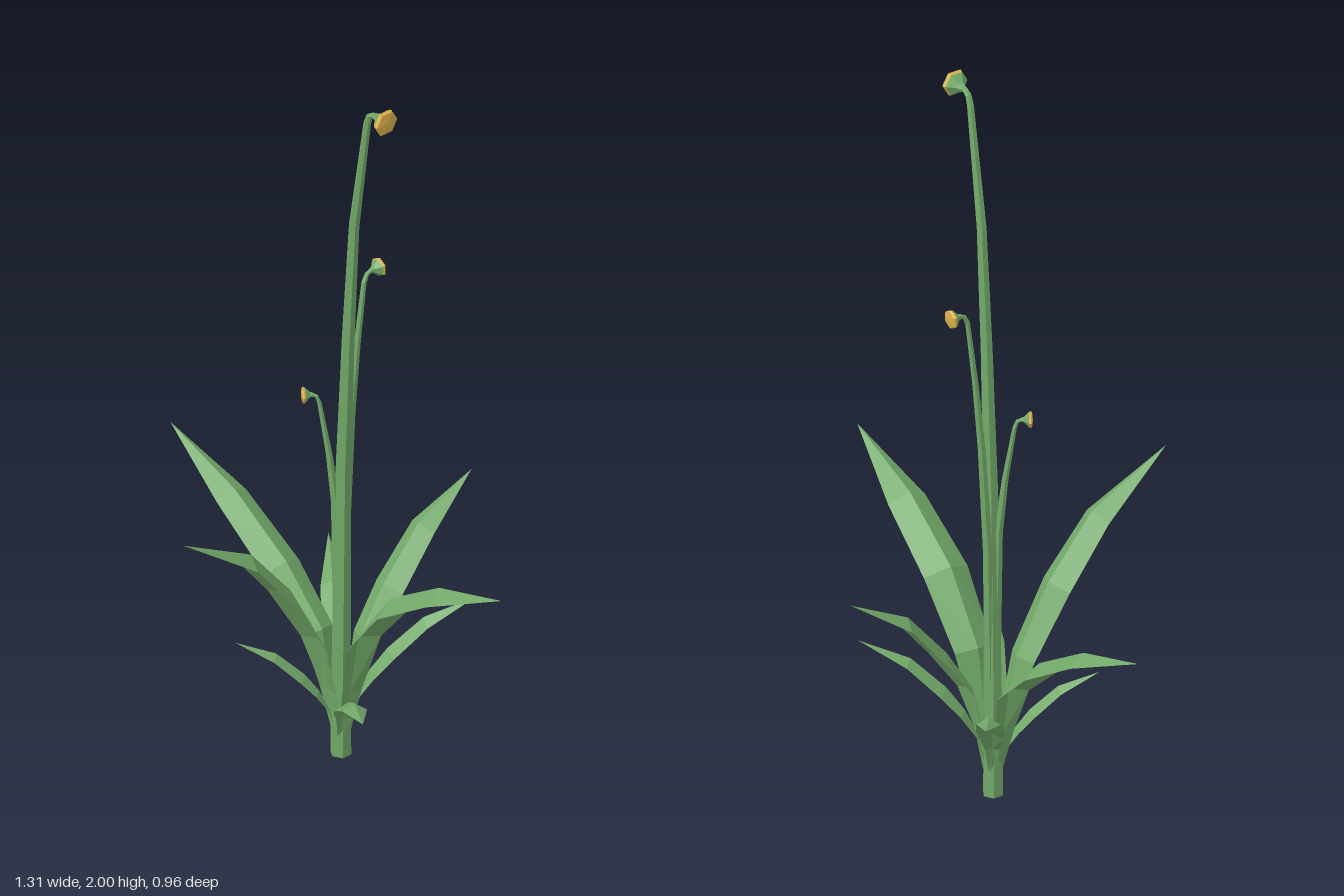
import * as THREE from 'three';

const green = new THREE.MeshStandardMaterial({ color: 0x73aa6a, side: THREE.DoubleSide });
green.name = 'leaf green';
const gold = new THREE.MeshStandardMaterial({ color: 0xd8b04a });
gold.name = 'petal gold';

const V = (x, y, z) => new THREE.Vector3(x, y, z);
const CX = 0.01, CZ = -0.05; // where all stems meet the ground

// Joins equal-length rings of points into a faceted surface
function loft(rings, closed) {
  const n = rings[0].length, pos = [];
  const push = (...pts) => pts.forEach((p) => pos.push(p.x, p.y, p.z));
  for (let i = 0; i < rings.length - 1; i++) {
    for (let j = 0; j < (closed ? n : n - 1); j++) {
      const k = (j + 1) % n;
      const a = rings[i][j], b = rings[i][k], c = rings[i + 1][j], d = rings[i + 1][k];
      push(a, c, d, a, d, b);
    }
  }
  const g = new THREE.BufferGeometry();
  g.setAttribute('position', new THREE.Float32BufferAttribute(pos, 3));
  g.computeVertexNormals();
  return g;
}

// Six-sided tube along points [x, y, z, radius]
function sweep(path) {
  const pts = path.map((p) => V(p[0], p[1], p[2]));
  const rings = pts.map((p, i) => {
    const next = pts[Math.min(i + 1, pts.length - 1)], prev = pts[Math.max(i - 1, 0)];
    const q = new THREE.Quaternion().setFromUnitVectors(V(0, 1, 0), next.clone().sub(prev).normalize());
    return Array.from({ length: 6 }, (_, j) => {
      const a = Math.PI / 2 + (j * Math.PI) / 3;
      return V(Math.cos(a), 0, Math.sin(a)).multiplyScalar(path[i][3]).applyQuaternion(q).add(p);
    });
  });
  return loft(rings, true);
}

function add(group, name, geometry, material) {
  const m = new THREE.Mesh(geometry, material);
  m.name = name;
  group.add(m);
}

// Bent stalk ending in a flared cup with a gold face
function flowerStalk(name, path, dir, s) {
  const g = new THREE.Group();
  g.name = name;
  const end = path[path.length - 1];
  const at = (d, r) => [end[0] + dir[0] * d * s, end[1], end[2] + dir[1] * d * s, r * s];
  add(g, 'stalk', sweep(path), green);
  add(g, 'flowerCup', sweep([at(-0.005, 0.009), at(0.01, 0.014), at(0.03, 0.034)]), green);
  add(g, 'flowerFace', sweep([at(0.03, 0.034), at(0.038, 0.038), at(0.044, 0.034), at(0.047, 0.015), at(0.048, 0)]), gold);
  return g;
}

// Ridged blade: path of [distance out, height], heading as an (x, z) direction
function leaf(name, dx, dz, path, width) {
  const len = Math.hypot(dx, dz), ux = dx / len, uz = dz / len;
  const widths = [0.3, 0.5, 0.85, 1, 0.85, 0];
  const ridge = [0.1, 0.2, 0.45, 0.55, 0.6, 0];
  const rings = path.map(([r, y], i) => {
    const p = path[Math.max(i - 1, 0)], q = path[Math.min(i + 1, path.length - 1)];
    const tr = q[0] - p[0], ty = q[1] - p[1], tl = Math.hypot(tr, ty);
    const w = widths[i] * width;
    // Point lifted h off the path and moved side to the left or right
    const at = (side, h) => {
      const out = r - (ty / tl) * h;
      return V(CX + ux * out - uz * side, y + (tr / tl) * h, CZ + uz * out + ux * side);
    };
    const h = ridge[i] * w;
    return [at(w, -0.6 * h), at(0, 0.4 * h), at(-w, -0.6 * h)];
  });
  const m = new THREE.Mesh(loft(rings, false), green);
  m.name = name;
  return m;
}

export function createModel() {
  const model = new THREE.Group();
  model.name = 'floweringPlant';

  // Flower stalks
  model.add(
    flowerStalk('tallStalk', [
      [CX, 0, CZ, 0], [CX, 0.001, CZ, 0.028], [CX, 0.2, CZ, 0.026], [0.02, 0.85, CZ, 0.021],
      [0.038, 1.25, CZ, 0.017], [0.061, 1.6, CZ, 0.014], [0.111, 1.93, CZ, 0.01],
      [0.12, 1.955, CZ, 0.009], [0.135, 1.965, CZ, 0.008], [0.145, 1.965, CZ, 0.008],
    ], [1, 0], 0.97),
    flowerStalk('middleStalk', [
      [CX, 0.1, CZ - 0.006, 0.016], [CX, 0.7, -0.066, 0.014], [CX, 1, -0.085, 0.011], [CX, 1.2, -0.105, 0.009],
      [CX, 1.375, -0.128, 0.007], [CX, 1.395, -0.138, 0.006], [CX, 1.4, -0.152, 0.006],
    ], [0, -1], 0.7),
    flowerStalk('shortStalk', [
      [CX, 0.1, CZ + 0.004, 0.014], [0.003, 0.75, -0.038, 0.012], [-0.006, 0.9, -0.024, 0.009],
      [-0.022, 1.05, -0.006, 0.006], [-0.026, 1.07, 0, 0.005], [-0.034, 1.075, 0.009, 0.005],
    ], [-0.55, 0.83], 0.57),
  );

  // Long leaves
  const base = [0.015, 0.07];
  model.add(
    leaf('leftLeaf', 0.65, 0.025, [base, [0.04, 0.2], [0.08, 0.38], [0.21, 0.55], [0.4, 0.675], [0.645, 0.77]], 0.065),
    leaf('rightLeaf', -0.66, -0.01, [base, [0.05, 0.2], [0.08, 0.33], [0.22, 0.46], [0.42, 0.58], [0.665, 0.67]], 0.057),
    leaf('frontLeaf', 0, 0.53, [base, [0.035, 0.2], [0.08, 0.37], [0.18, 0.55], [0.31, 0.71], [0.53, 0.84]], 0.057),
    leaf('backLeaf', 0.005, -0.43, [base, [0.04, 0.2], [0.07, 0.32], [0.15, 0.44], [0.265, 0.575], [0.435, 0.67]], 0.05),
  );

  // Short leaves between the long ones: name, direction, reach, height
  const shape = [[0.05, 0.19], [0.11, 0.38], [0.22, 0.54], [0.36, 0.68], [0.62, 0.87], [1, 1]];
  [
    ['backRightShortLeaf', -0.327, -0.245, 0.412, 0.4, 0.037],
    ['backLeftShortLeaf', 0.194, -0.282, 0.342, 0.44, 0.035],
    ['frontLeftShortLeaf', 0.352, 0.235, 0.424, 0.35, 0.037],
    ['frontRightShortLeaf', -0.152, 0.222, 0.27, 0.35, 0.029],
  ].forEach(([name, dx, dz, reach, height, width]) =>
    model.add(leaf(name, dx, dz, shape.map(([r, y]) => [r * reach, y * height]), width)));

  return model;
}
